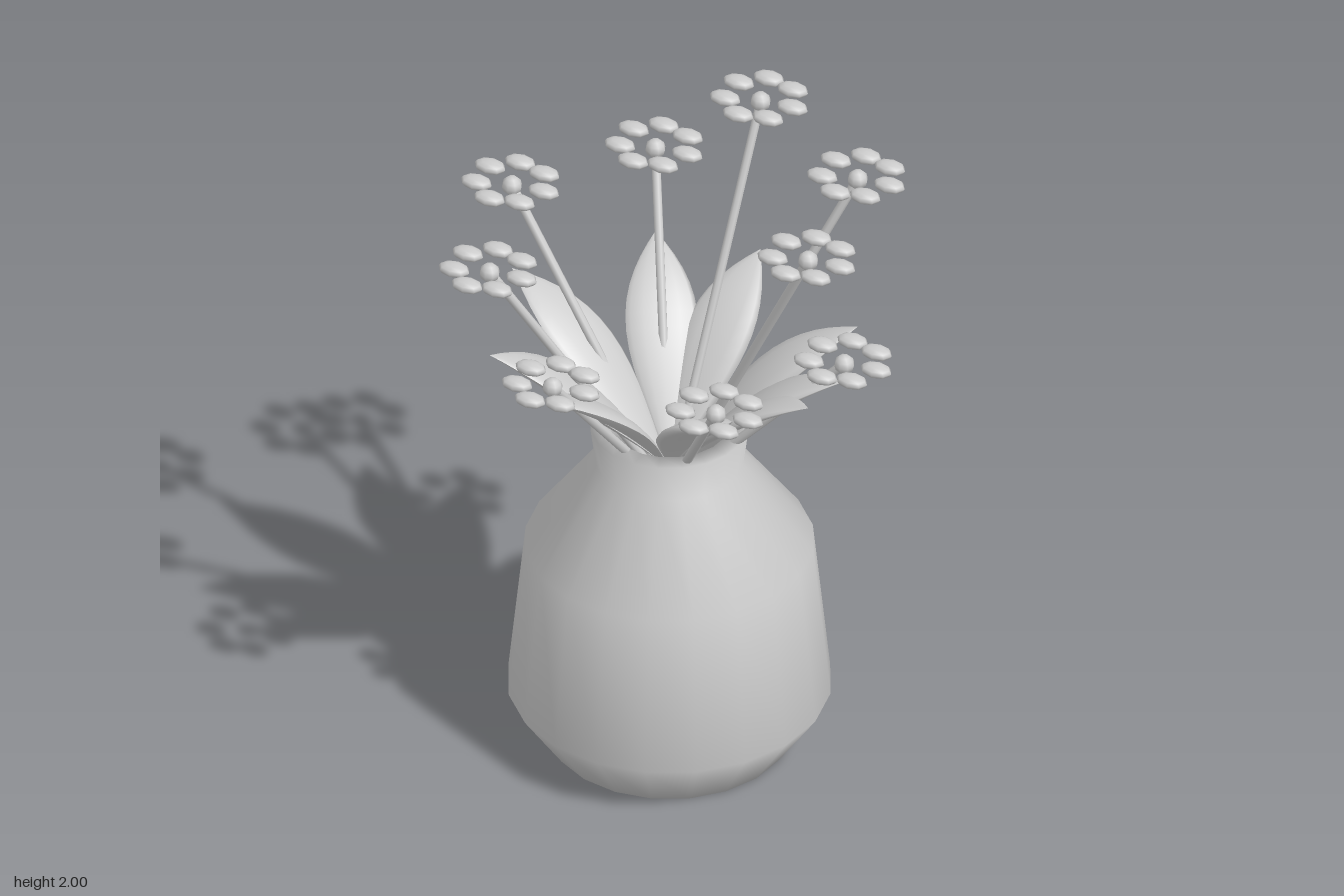
import * as THREE from 'three';

const clay = new THREE.MeshStandardMaterial({ color: 0xcccccc });
clay.name = 'pale grey';

const CX = -0.01, CZ = 0.005; // axis of the vase

// flower heads: x, y, z
const FLOWERS = [
  [0.04, 1.98, -0.5], [0.475, 1.98, -0.27], [0.53, 1.98, 0.17],
  [-0.575, 1.745, -0.085], [-0.28, 1.745, -0.445], [-0.435, 1.745, 0.345],
  [0.565, 1.51, 0], [0.34, 1.51, 0.4], [-0.155, 1.51, 0.49],
];

function add(parent, name, geometry, x = 0, y = 0, z = 0) {
  const mesh = new THREE.Mesh(geometry, clay);
  mesh.name = name;
  mesh.position.set(x, y, z);
  parent.add(mesh);
  return mesh;
}

// vase wall, outside then inside
function vaseGeometry() {
  const profile = [
    [0, 0], [0.36, 0], [0.482, 0.18], [0.43, 0.69], [0.22, 0.98], [0.237, 1.11],
    [0.18, 1.11], [0.165, 0.98], [0.37, 0.68], [0.42, 0.2], [0.32, 0.06], [0, 0.06],
  ];
  return new THREE.LatheGeometry(profile.map(([r, y]) => new THREE.Vector2(r, y)), 20);
}

// pointed lens-shaped blade that arches outward along +x to the given reach
function leafGeometry(reach) {
  const geo = new THREE.CylinderGeometry(1, 1, 1, 12, 14, true);
  const p = geo.attributes.position;
  for (let i = 0; i < p.count; i++) {
    const t = p.getY(i) + 0.5;
    const swell = Math.sin(Math.PI * Math.pow(t, 1.1));
    const thick = p.getX(i) * 0.022 * swell;
    const spine = 0.94 + 0.78 * t - 0.285 * t * t;
    p.setXYZ(i, reach * t - thick * 0.6, spine + thick, -p.getZ(i) * 0.108 * swell);
  }
  geo.computeVertexNormals();
  return geo;
}

// straight stem from the vase to a flower head
function addStem(parent, from, to) {
  const dir = to.clone().sub(from);
  const mid = from.clone().addScaledVector(dir, 0.5);
  const stem = add(parent, 'stem', new THREE.CylinderGeometry(0.014, 0.014, dir.length(), 8), mid.x, mid.y, mid.z);
  stem.quaternion.setFromUnitVectors(new THREE.Vector3(0, 1, 0), dir.normalize());
}

// seven flattened petals around a round centre
function flowerHead() {
  const head = new THREE.Group();
  head.name = 'flowerHead';
  const petal = new THREE.SphereGeometry(1, 8, 6).scale(0.05, 0.02, 0.033);
  for (let i = 0; i < 7; i++) {
    const a = (i / 7) * Math.PI * 2;
    add(head, 'petal', petal, Math.cos(a) * 0.105, 0, Math.sin(a) * 0.105);
  }
  add(head, 'flowerCentre', new THREE.SphereGeometry(0.031, 8, 6), 0, -0.011, 0);
  return head;
}

export function createModel() {
  const model = new THREE.Group();
  model.name = 'vaseWithFlowers';
  add(model, 'vase', vaseGeometry(), CX, 0, CZ);

  const root = new THREE.Vector3(CX, 0.87, CZ);
  for (const [x, y, z] of FLOWERS) {
    const plant = new THREE.Group();
    plant.name = 'flower';
    addStem(plant, root, new THREE.Vector3(x, y - 0.01, z));
    const head = flowerHead();
    head.position.set(x, y, z);
    plant.add(head);
    // one leaf under each flower
    const dx = x - CX, dz = z - CZ;
    const leaf = add(plant, 'leaf', leafGeometry(Math.hypot(dx, dz)), CX, 0, CZ);
    leaf.rotation.y = -Math.atan2(dz, dx);
    model.add(plant);
  }
  return model;
}
